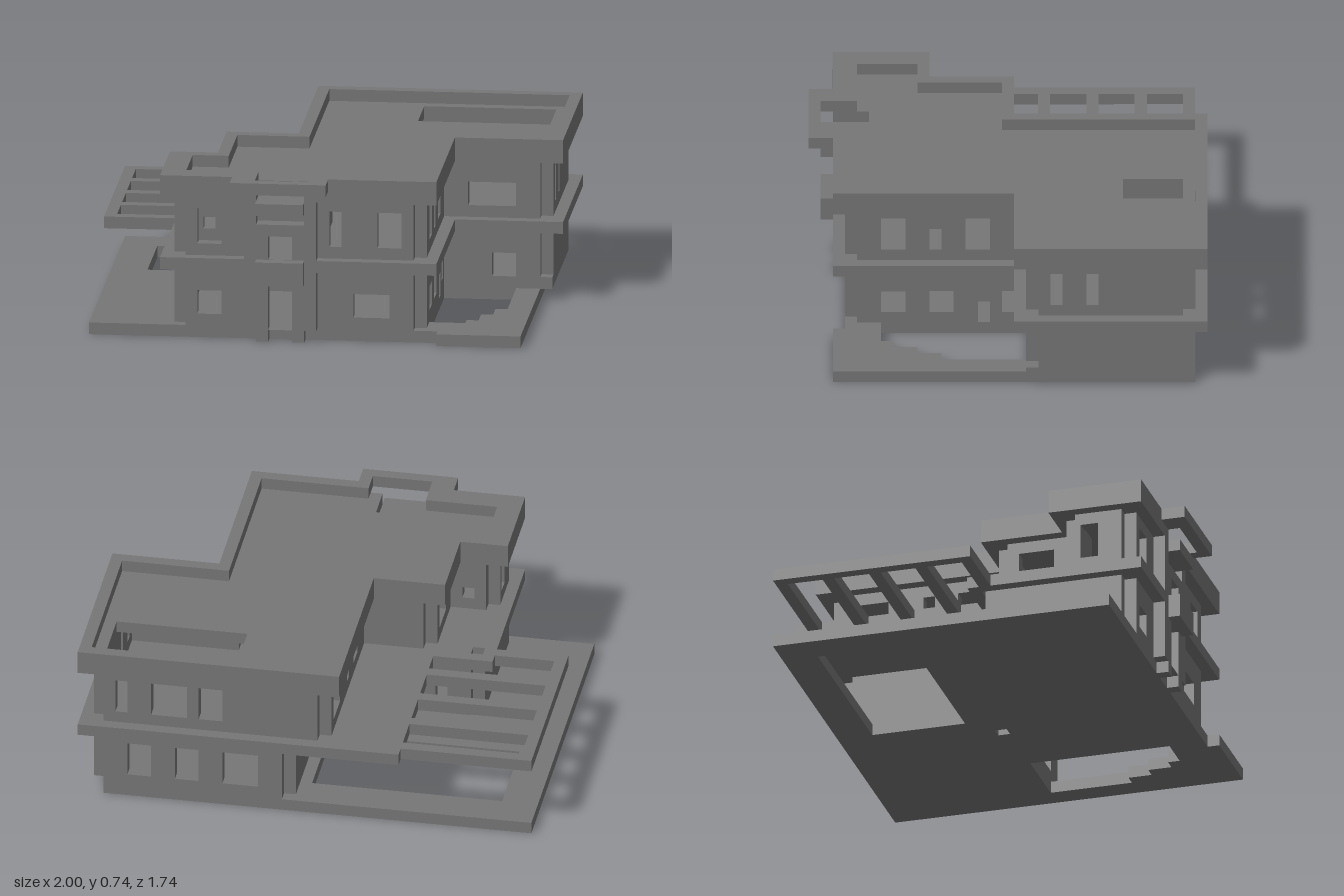
import * as THREE from 'three';

// The house is laid out on a regular grid: 38 cells wide, 14 high, 33 deep
const U = 2 / 38;

export function createModel() {
  const house = new THREE.Group();
  house.name = 'house';
  const grey = new THREE.MeshStandardMaterial({ color: 0x777777 });
  grey.name = 'grey';

  function add(parent, name, geo) {
    geo.translate(-19, 0, -16.5).scale(U, U, U);
    const mesh = new THREE.Mesh(geo, grey);
    mesh.name = name;
    parent.add(mesh);
  }
  const toPath = (P, pts) => new P(pts.map(([a, b]) => new THREE.Vector2(a, b)));
  const rect = (a0, a1, b0, b1) => [[a0, b0], [a1, b0], [a1, b1], [a0, b1]];
  function plate(outline, holes, depth) {
    const shape = toPath(THREE.Shape, outline);
    shape.holes = holes.map((h) => toPath(THREE.Path, h));
    return new THREE.ExtrudeGeometry(shape, { depth, bevelEnabled: false });
  }
  function box(parent, name, x0, x1, y0, y1, z0, z1) {
    const g = new THREE.BoxGeometry(x1 - x0, y1 - y0, z1 - z0);
    add(parent, name, g.translate((x0 + x1) / 2, (y0 + y1) / 2, (z0 + z1) / 2));
  }
  // Horizontal slab from an (x, z) outline
  function slab(name, outline, holes, y0, y1) {
    add(house, name, plate(outline, holes, y1 - y0).rotateX(Math.PI / 2).translate(0, y1, 0));
  }
  // Wall one cell thick; axis is its running direction, windows are [from, to, bottom, top]
  function wall(parent, axis, at, from, to, y0, windows = []) {
    const holes = windows.map(([a, b, c, d]) => rect(a, b, Math.max(c, y0 + 0.02), d));
    const g = plate(rect(from, to, y0, y0 + 5), holes, 1);
    if (axis === 'x') g.translate(0, 0, at);
    else g.rotateY(-Math.PI / 2).translate(at + 1, 0, 0);
    add(parent, 'wall', g);
  }
  function storey(name, y0, walls) {
    const g = new THREE.Group();
    g.name = name;
    house.add(g);
    for (const [axis, at, from, to, windows] of walls) wall(g, axis, at, from, to, y0, windows);
    return g;
  }

  // Base with a back pool, a stepped side pool and a small shaft
  slab('base',
    [[0, 1], [36, 1], [36, 31], [29, 31], [29, 30], [0, 30]],
    [
      rect(3, 19, 4, 12),
      rect(21, 22, 14, 15),
      [[28, 15], [34, 15], [34, 22], [33, 22], [33, 24], [32, 24], [32, 26], [31, 26], [31, 27], [28, 27]],
    ], 0, 1);

  // Ground floor, with walls stopping short to leave notched corners
  const ground = storey('groundFloor', 1, [
    ['x', 1, 21, 36, [[23, 26, 2, 5], [28, 30, 2, 5], [32, 34, 2, 5]]],
    ['z', 36, 2, 14],
    ['x', 14, 27, 36, [[32, 34, 2, 4]]],
    ['z', 27, 14, 29, [[16, 17, 2, 4], [18, 19, 1, 3], [21, 23, 2, 4], [25, 27, 2, 4]]],
    ['x', 29, 19, 27, [[22, 25, 2, 4]]],
    ['x', 30, 13, 19, [[15, 17, 1, 5]]],
    ['x', 29, 8, 13, [[9, 11, 2, 4]]],
    ['z', 7, 18, 29],
    ['x', 17, 8, 21, [[10, 11, 2, 4], [15, 17, 2, 3], [15, 17, 4, 5]]],
    ['z', 20, 2, 18],
    ['z', 18, 18, 29],
  ]);
  box(ground, 'cornerBlock', 36, 37, 1, 2, 14, 15);
  box(ground, 'entranceFoot', 14, 15, 0, 1, 30, 31);
  box(ground, 'entranceFoot', 17, 18, 0, 1, 30, 31);

  // Middle slab and terrace
  slab('terraceSlab',
    [[11, 0], [38, 0], [38, 16], [29, 16], [29, 31], [6, 31], [6, 16], [11, 16]],
    [rect(7, 8, 17, 18)], 6, 7);

  // Pergola beside the terrace
  const pergola = new THREE.Group();
  pergola.name = 'pergola';
  house.add(pergola);
  box(pergola, 'edgeBeam', 0, 1, 6, 7, 1, 18);
  for (const z of [1, 5, 9, 13, 17]) box(pergola, 'crossBeam', 1, z === 17 ? 6 : 11, 6, 7, z, z + 1);

  // Upper floor
  const upper = storey('upperFloor', 7, [
    ['x', 1, 18, 36, [[26, 28, 8, 11], [29, 32, 8, 11], [34, 35, 8, 11]]],
    ['z', 36, 2, 14, [[9, 10, 8, 11], [12, 13, 8, 11]]],
    ['x', 14, 27, 36, [[30, 34, 8, 10]]],
    ['z', 27, 14, 29, [[18, 20, 8, 11], [22, 23, 8, 10], [25, 27, 8, 11]]],
    ['x', 29, 19, 27, [[20, 21, 8, 11], [24, 26, 8, 11]]],
    ['x', 30, 13, 19, [[15, 17, 7, 9], [14, 18, 10, 11]]],
    ['x', 29, 8, 13, [[9, 11, 8, 11]]],
    ['z', 7, 25, 29, [[25.5, 27, 8, 11]]],
    ['x', 24, 8, 12, [[9, 10, 8, 9]]],
    ['z', 11, 18, 25, [[19, 22, 8, 11]]],
    ['x', 17, 12, 18],
    ['z', 17, 2, 18, [[3, 6, 8, 11], [9, 10, 8, 9], [9, 10, 10, 11], [12, 14, 8, 11]]],
    ['z', 18, 18, 29],
  ]);
  box(upper, 'balcony', 14, 18, 5, 7, 30, 32);
  box(upper, 'bayLintel', 14, 18, 11, 12, 28, 32);

  // Roof slab with an open court, notched above the entrance bay
  slab('roofSlab',
    [[16, 0], [38, 0], [38, 16], [29, 16], [29, 31], [18, 31], [18, 28], [14, 28], [14, 31],
      [6, 31], [6, 23], [10, 23], [10, 16], [16, 16]],
    [rect(25, 36, 2, 7)], 12, 13);

  // Parapet that steps out around the entrance bay
  slab('parapet',
    [[16, 0], [38, 0], [38, 16], [29, 16], [29, 31], [20, 31], [20, 33], [12, 33], [12, 31],
      [6, 31], [6, 23], [10, 23], [10, 16], [16, 16]],
    [[[17, 1], [37, 1], [37, 15], [28, 15], [28, 30], [19, 30], [19, 32], [14, 32], [14, 29],
      [8, 29], [8, 24], [11, 24], [11, 17], [17, 17]]], 13, 14);

  return house;
}
